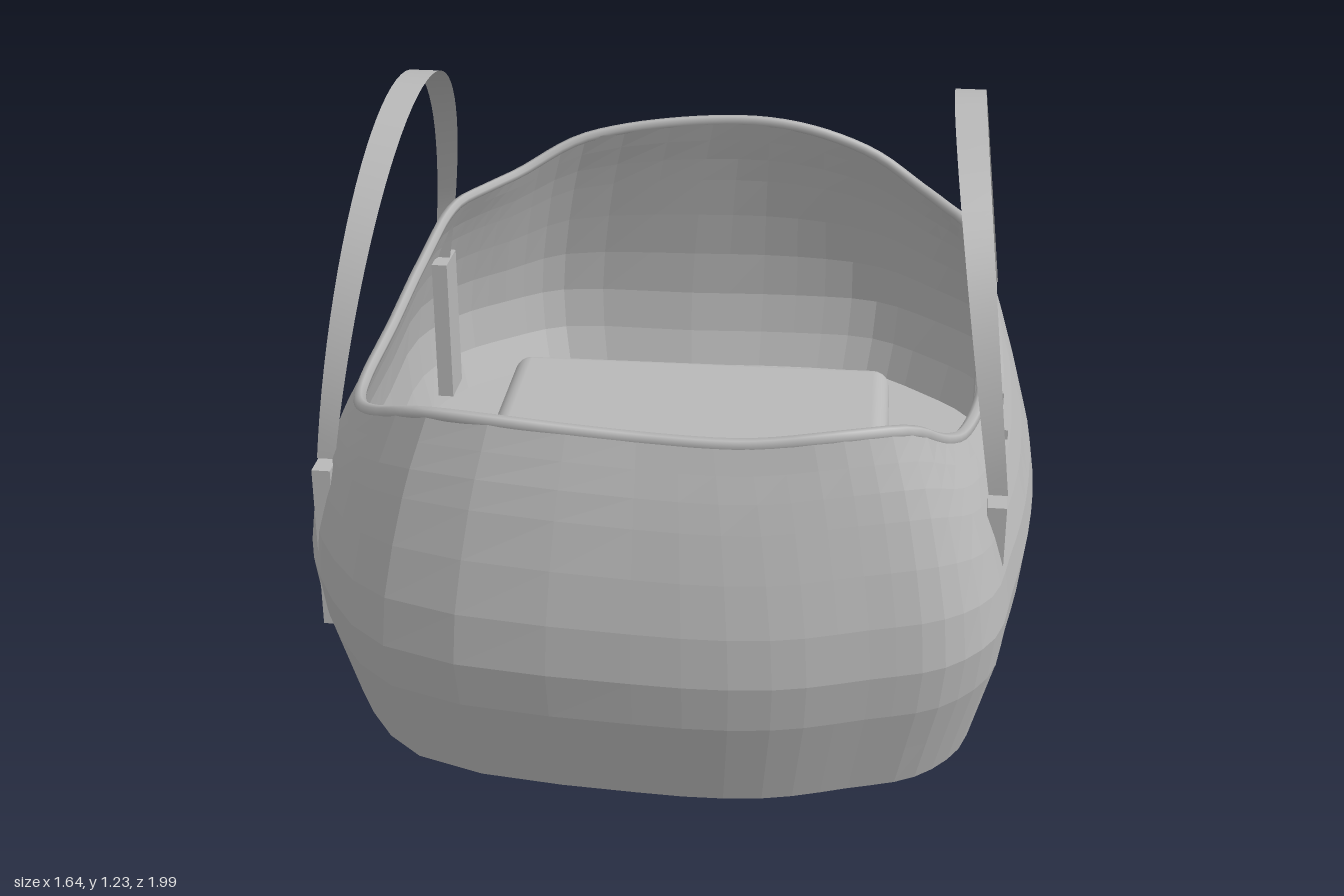
import * as THREE from 'three';
import { RoundedBoxGeometry } from 'three/addons/geometries/RoundedBoxGeometry.js';

// Outline stations, counter-clockwise from the front: bellyX, bellyZ, rimX, rimZ, rimY
const STATIONS = [
  [0, 0.99, 0, 0.87, 0.80], [0.28, 0.98, 0.22, 0.875, 0.80], [0.47, 0.92, 0.4, 0.85, 0.815],
  [0.62, 0.86, 0.53, 0.78, 0.80], [0.72, 0.74, 0.6, 0.65, 0.72], [0.76, 0.55, 0.645, 0.52, 0.67],
  [0.80, 0.3, 0.69, 0.28, 0.655], [0.82, 0, 0.69, 0, 0.675], [0.80, -0.28, 0.69, -0.3, 0.70],
  [0.765, -0.55, 0.66, -0.54, 0.725], [0.73, -0.72, 0.6, -0.66, 0.73], [0.6, -0.86, 0.53, -0.77, 0.74],
  [0.43, -0.98, 0.4, -0.85, 0.80], [0.2, -1.0, 0.2, -0.88, 0.855], [-0.1, -0.985, -0.03, -0.895, 0.86],
  [-0.47, -0.965, -0.38, -0.855, 0.81], [-0.62, -0.86, -0.54, -0.76, 0.74], [-0.74, -0.74, -0.61, -0.66, 0.73],
  [-0.81, -0.58, -0.67, -0.54, 0.725], [-0.81, -0.25, -0.69, -0.25, 0.695], [-0.81, 0.1, -0.69, 0.1, 0.665],
  [-0.80, 0.42, -0.68, 0.42, 0.655], [-0.72, 0.66, -0.6, 0.65, 0.72], [-0.52, 0.91, -0.42, 0.84, 0.815],
];
const COLS = 72, ROWS = 9, FLOOR = 0.12, WALL = 0.022;

const closed = (pts) => new THREE.CatmullRomCurve3(pts, true);
const belly = closed(STATIONS.map(([x, z]) => new THREE.Vector3(x, 0.32, z)));
const rim = closed(STATIONS.map((s) => new THREE.Vector3(s[2], s[4], s[3])));

// Thin-walled tub: outer skin up, inner skin down, then the floor
function tubGeometry() {
  const pos = [], idx = [], rows = 2 * (ROWS + 1);
  for (let j = 0; j < COLS; j++) {
    const b = belly.getPoint(j / COLS), r = rim.getPoint(j / COLS);
    const upper = new THREE.Vector3().lerpVectors(b, r, 0.5);
    upper.y = b.y + (r.y - b.y) * 0.66;
    const base = new THREE.Vector3(b.x * 0.92, 0, b.z * 0.92);
    const side = new THREE.CatmullRomCurve3([base, b, upper, r]);
    for (let i = 0; i < rows; i++) {
      const inner = i > ROWS;
      const p = side.getPoint((inner ? rows - 1 - i : i) / ROWS);
      if (inner) {
        const k = 1 - WALL / Math.hypot(p.x, p.z);
        p.set(p.x * k, Math.max(p.y, FLOOR), p.z * k);
      }
      pos.push(p.x, p.y, p.z);
    }
  }
  const bottom = COLS * rows, floor = bottom + 1;
  pos.push(0, 0, 0, 0, FLOOR, 0);
  for (let j = 0; j < COLS; j++) {
    const a = j * rows, b = ((j + 1) % COLS) * rows;
    for (let i = 0; i < rows - 1; i++) {
      idx.push(a + i, b + i, b + i + 1, a + i, b + i + 1, a + i + 1);
    }
    idx.push(bottom, b, a, floor, a + rows - 1, b + rows - 1);
  }
  const g = new THREE.BufferGeometry();
  g.setAttribute('position', new THREE.Float32BufferAttribute(pos, 3));
  g.setIndex(idx);
  const flat = g.toNonIndexed();
  flat.computeVertexNormals();
  return flat;
}

// Thin arched band leaning inward and widening towards the top
function handleGeometry(side) {
  const g = new THREE.PlaneGeometry(1, 1, 1, 40), p = g.attributes.position;
  for (let i = 0; i < p.count; i++) {
    const a = (p.getY(i) + 0.5) * Math.PI, lift = Math.sin(a);
    const x = 0.715 - 0.09 * lift + p.getX(i) * (0.04 + 0.03 * lift);
    p.setXYZ(i, side * x, 0.56 + 0.67 * lift, 0.57 * Math.cos(a));
  }
  g.computeVertexNormals();
  return g;
}

export function createModel() {
  const model = new THREE.Group();
  model.name = 'carryBasket';
  const grey = new THREE.MeshStandardMaterial({ color: 0xb8b8b8 });
  grey.name = 'grey';
  const band = new THREE.MeshStandardMaterial({ color: 0xb8b8b8, side: THREE.DoubleSide });
  band.name = 'greyBand';

  const add = (name, geometry, material = grey) => {
    const mesh = new THREE.Mesh(geometry, material);
    mesh.name = name;
    model.add(mesh);
    return mesh;
  };
  const box = (name, x0, x1, y0, y1, z0, z1) =>
    add(name, new THREE.BoxGeometry(x1 - x0, y1 - y0, z1 - z0))
      .position.set((x0 + x1) / 2, (y0 + y1) / 2, (z0 + z1) / 2);

  add('basketBody', tubGeometry());

  // Piping along the rim
  const lip = [];
  for (let j = 0; j < COLS; j++) {
    const p = rim.getPoint(j / COLS), k = 1 - WALL / 2 / Math.hypot(p.x, p.z);
    lip.push(new THREE.Vector3(p.x * k, p.y, p.z * k));
  }
  add('rimPiping', new THREE.TubeGeometry(closed(lip), 144, 0.014, 6, true));

  // Mattress lying slightly askew on the floor
  const mattress = add('mattress', new RoundedBoxGeometry(1.0, 0.18, 1.22, 3, 0.045));
  mattress.position.set(-0.02, 0.19, -0.01);
  mattress.rotation.y = 0.018;

  // Handles with their anchor straps set through the wall
  for (const side of [1, -1]) {
    const label = side > 0 ? 'left' : 'right';
    add(label + 'Handle', handleGeometry(side), band);
    for (const end of [1, -1]) {
      const strap = add(label + (end > 0 ? 'Front' : 'Back') + 'Strap', new THREE.BoxGeometry(0.04, 0.38, 0.11));
      strap.position.set(side * 0.712, 0.37, end * 0.57);
    }
  }

  // Small clasp beside the left handle
  box('claspUpper', 0.68, 0.72, 0.695, 0.72, 0.335, 0.415);
  box('claspLower', 0.695, 0.73, 0.65, 0.672, 0.39, 0.49);
  return model;
}
